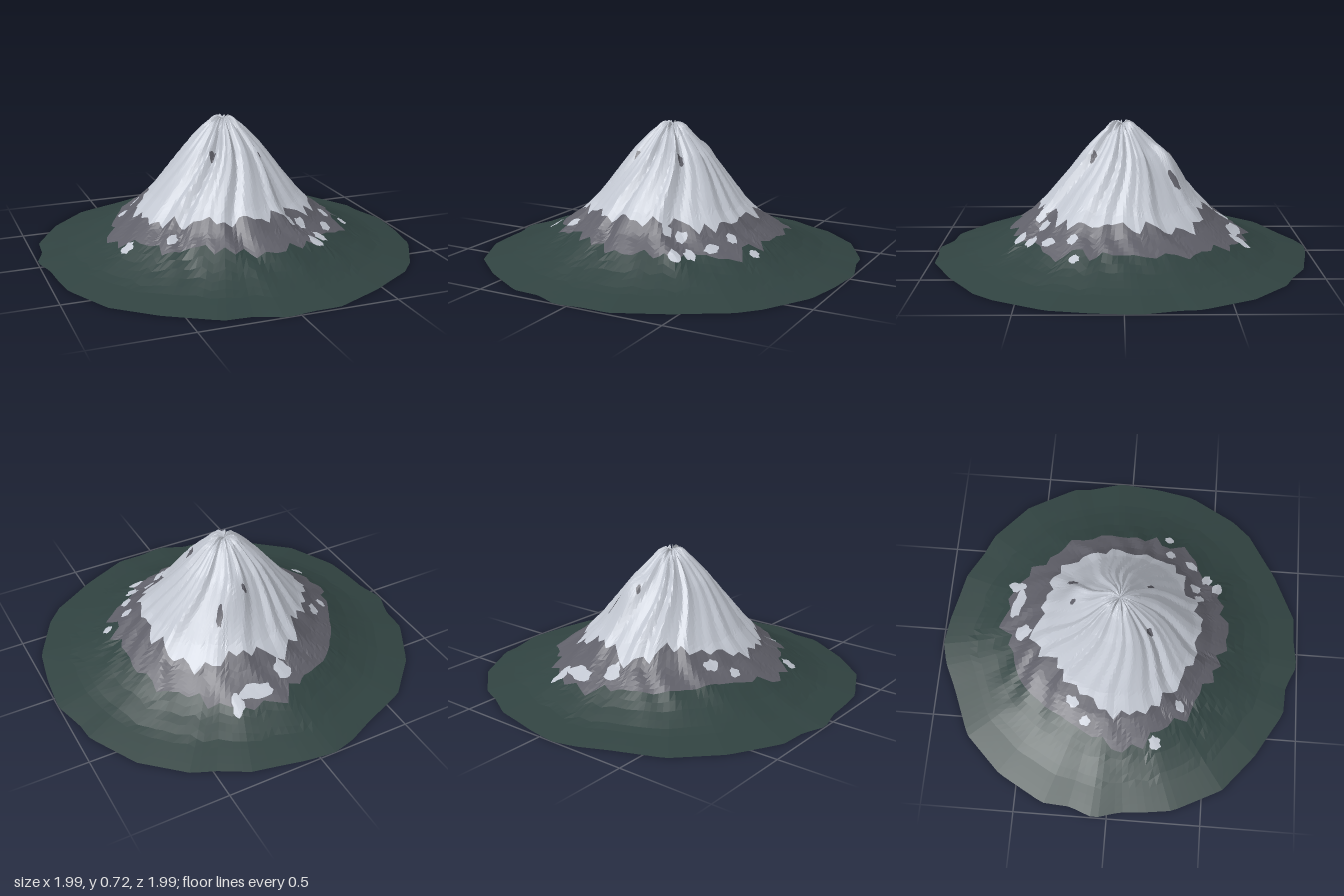
import * as THREE from 'three';

const SEG = 144;
const TAU = Math.PI * 2;

const mat = (name, color, flat = true) => {
  const m = new THREE.MeshStandardMaterial({ color, side: THREE.DoubleSide, flatShading: flat });
  m.name = name;
  return m;
};

// Small seeded generator
function seeded(seed) {
  return () => {
    seed = (seed * 1664525 + 1013904223) % 4294967296;
    return seed / 4294967296;
  };
}

// Values spaced evenly round the circle, joined by straight runs
function around(values) {
  const n = values.length;
  return (angle) => {
    const t = ((((angle / TAU) % 1) + 1) % 1) * n;
    const i = Math.floor(t) % n;
    return THREE.MathUtils.lerp(values[i], values[(i + 1) % n], t - Math.floor(t));
  };
}
const noiseRing = (n, seed) => {
  const rnd = seeded(seed);
  return around(Array.from({ length: n }, () => rnd() * 2 - 1));
};

// Foot outline, as [x, z] corners in order of angle
const OUTLINE = [[.98, .15], [.94, .36], [.8, .61], [.71, .71], [.58, .79], [.47, .86], [.34, .92], [.21, .98],
  [.08, .98], [-.07, 1], [-.2, .94], [-.35, .93], [-.6, .78], [-.8, .61], [-.93, .35], [-.95, .2], [-.96, .07],
  [-1, -.07], [-.95, -.2], [-.94, -.35], [-.8, -.6], [-.6, -.8], [-.35, -.9], [-.2, -.97], [-.08, -1], [.07, -.98],
  [.2, -.95], [.34, -.92], [.48, -.84], [.6, -.79], [.8, -.61], [.94, -.35], [.95, -.25], [1, -.07]];

// Distance from the axis to the outline along a direction
function outlineRadius(angle) {
  const dx = Math.cos(angle), dz = Math.sin(angle);
  for (let i = 0; i < OUTLINE.length; i++) {
    const [ax, az] = OUTLINE[i], [bx, bz] = OUTLINE[(i + 1) % OUTLINE.length];
    const ca = dx * az - dz * ax, cb = dx * bz - dz * bx;
    if (ca <= 0 && cb > 0 && ax * dx + az * dz > 0) {
      const t = ca / (ca - cb);
      return Math.hypot(ax + (bx - ax) * t, az + (bz - az) * t);
    }
  }
  return 0.97;
}

// Slope profile: [radius, height]
const PROFILE = [[0, .695], [.04, .708], [.07, .69], [.12, .64], [.2, .555], [.3, .43], [.4, .308],
  [.5, .212], [.6, .147], [.7, .09], [.82, .04], [1, 0]];
function profile(r) {
  for (let i = 1; i < PROFILE.length; i++) {
    const [r0, h0] = PROFILE[i - 1], [r1, h1] = PROFILE[i];
    if (r <= r1) return THREE.MathUtils.lerp(h0, h1, (r - r0) / (r1 - r0));
  }
  return 0;
}

const broadRidge = noiseRing(22, 11);
const fineRidge = noiseRing(52, 5);
function height(r, angle) {
  const q = r / outlineRadius(angle);
  const rn = r + (q - r) * q * q;
  const twist = angle + 0.12 * Math.sin(r * 11);
  const amp = 0.034 * Math.min(1, r / 0.16) * THREE.MathUtils.clamp((0.78 - r) / 0.4, 0, 1);
  const crown = r < 0.1 ? 0.018 * Math.sin(Math.PI * r / 0.1) * broadRidge(angle * 2) : 0;
  // Rocky shoulder on the back left flank
  const x = r * Math.cos(angle), z = r * Math.sin(angle);
  const shoulder = 0.06 * Math.exp(-((x - 0.08) ** 2 + (z + 0.25) ** 2) / 0.005);
  return Math.max(0, profile(rn) + amp * (0.6 * broadRidge(twist) + 0.6 * fineRidge(twist)) + crown + shoulder);
}

// Ragged borders between the bands, every 15 degrees
const snowBase = around([.45, .46, .46, .46, .42, .42, .43, .45, .42, .45, .47, .5,
  .5, .42, .42, .42, .42, .49, .43, .44, .46, .5, .48, .45]);
const rockBase = around([.6, .6, .62, .58, .61, .57, .58, .57, .57, .57, .6, .62,
  .63, .59, .57, .59, .61, .6, .65, .66, .65, .6, .61, .58]);
const snowTeeth = noiseRing(72, 21), rockTeeth = noiseRing(72, 34);
const snowEdge = (a) => snowBase(a) + 0.035 * snowTeeth(a);
const rockEdge = (a) => {
  const calm = a > 3.3 && a < 4.5 ? 0.15 : 1;
  return rockBase(a) + 0.035 * calm * rockTeeth(a);
};

// Band of the slope between two radius rules
function band(name, inner, outer, rings, material) {
  const pos = [], index = [];
  for (let i = 0; i <= rings; i++) {
    for (let j = 0; j < SEG; j++) {
      const a = (j / SEG) * TAU;
      const r = THREE.MathUtils.lerp(inner(a), outer(a), i / rings);
      pos.push(r * Math.cos(a), height(r, a), r * Math.sin(a));
    }
  }
  for (let i = 0; i < rings; i++) {
    for (let j = 0; j < SEG; j++) {
      const k = (j + 1) % SEG;
      const a = i * SEG + j, d = i * SEG + k, b = a + SEG, c = d + SEG;
      index.push(a, c, b);
      if (i > 0 || inner(0) > 0) index.push(a, d, c);
    }
  }
  return finish(name, pos, index, material);
}

// Thin blotch draped over the slope
function blotch(name, [x, z, along, across], seed, material) {
  const rnd = seeded(seed * 977 + 3);
  const n = 14, rings = 4, pos = [], index = [];
  const dir = Math.atan2(z, x), ux = Math.cos(dir), uz = Math.sin(dir);
  const put = (px, pz) => pos.push(px, height(Math.hypot(px, pz), Math.atan2(pz, px)) + 0.006, pz);
  const wobble = Array.from({ length: n }, () => 0.75 + 0.5 * rnd());
  put(x, z);
  for (let i = 1; i <= rings; i++) {
    for (let j = 0; j < n; j++) {
      const a = (j / n) * TAU, s = (i / rings) * wobble[j];
      const u = Math.cos(a) * s * along, v = Math.sin(a) * s * across;
      put(x + ux * u - uz * v, z + uz * u + ux * v);
    }
  }
  for (let j = 0; j < n; j++) {
    const k = (j + 1) % n;
    index.push(0, 1 + k, 1 + j);
    for (let i = 0; i < rings - 1; i++) {
      const a = 1 + i * n + j, d = 1 + i * n + k;
      index.push(a, d + n, a + n, a, d, d + n);
    }
  }
  return finish(name, pos, index, material);
}

function finish(name, pos, index, material) {
  const g = new THREE.BufferGeometry();
  g.setAttribute('position', new THREE.Float32BufferAttribute(pos, 3));
  g.setIndex(index);
  g.computeVertexNormals();
  const mesh = new THREE.Mesh(g, material);
  mesh.name = name;
  return mesh;
}

export function createModel() {
  const snow = mat('snow', 0xc0c5cf);
  const rock = mat('rock', 0x5f5f68);
  const forest = mat('forest green', 0x304240);

  const mountain = new THREE.Group();
  mountain.name = 'mountain';
  mountain.add(
    band('snowCap', () => 0, snowEdge, 26, snow),
    band('rockBelt', snowEdge, rockEdge, 7, rock),
    band('forestSkirt', rockEdge, outlineRadius, 8, forest),
  );

  // Snow fields in the rock belt: x, z, half length downhill, half width
  const snowFields = [[.13, -.58, .035, .08], [.24, -.6, .05, .03], [-.05, -.53, .05, .04], [-.43, -.22, .025, .04],
    [-.52, -.15, .025, .03], [-.6, .23, .035, .03], [-.4, .35, .03, .025], [.2, .42, .03, .025], [.27, .4, .03, .03],
    [.35, .46, .035, .03], [.3, .52, .035, .03], [.42, .37, .025, .04], [.47, .25, .03, .025], [.59, .24, .025, .03]];
  snowFields.forEach((f, i) => mountain.add(blotch('snowField', f, i + 1, snow)));

  // Bare rock showing through the snow
  const outcrops = [[-.12, .16, .018, .015], [.13, .15, .018, .015], [.17, -.27, .035, .018], [.02, -.25, .014, .012]];
  outcrops.forEach((f, i) => mountain.add(blotch('rockOutcrop', f, i + 40, rock)));

  return mountain;
}
